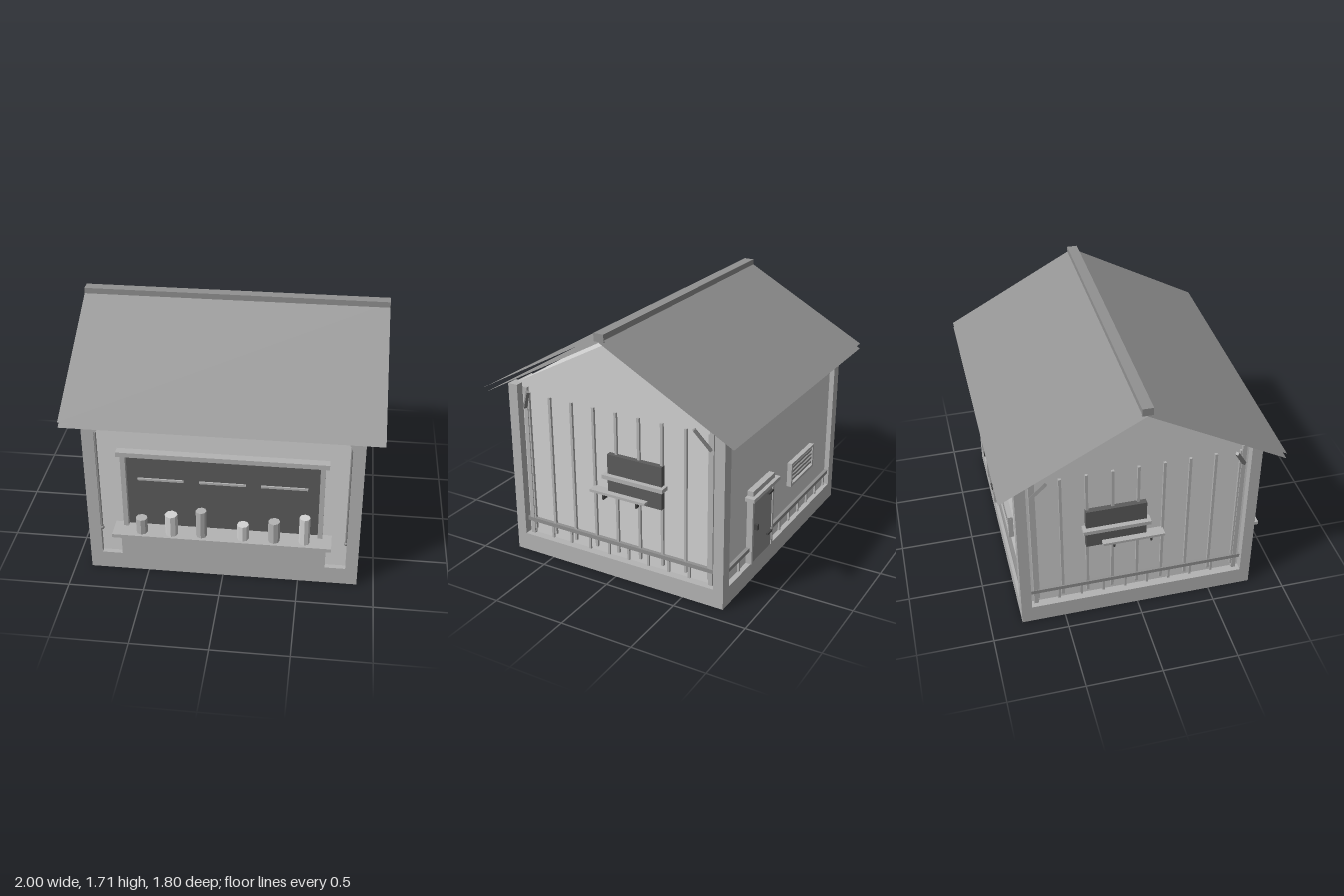
import * as THREE from 'three';

const mat = (name, color, side = THREE.FrontSide) => {
  const m = new THREE.MeshStandardMaterial({ color, side });
  m.name = name;
  return m;
};

export function createModel() {
  const wall = mat('pale wall', 0xd3d3d3);
  const trim = mat('grey trim', 0xb4b4b4);
  const rail = mat('mid grey', 0x919191);
  const roof = mat('roof grey', 0x929292, THREE.DoubleSide);
  const dark = mat('dark panel', 0x5c5c5c);
  const iron = mat('iron', 0x474747);

  const root = new THREE.Group();
  root.name = 'kiosk';

  const add = (parent, name, geo, material) => {
    const m = new THREE.Mesh(geo, material);
    m.name = name;
    parent.add(m);
    return m;
  };
  // Box given by its minimum and maximum on each axis
  const box = (parent, name, material, x0, x1, y0, y1, z0, z1) => {
    const m = add(parent, name, new THREE.BoxGeometry(x1 - x0, y1 - y0, z1 - z0), material);
    m.position.set((x0 + x1) / 2, (y0 + y1) / 2, (z0 + z1) / 2);
    return m;
  };
  const group = (name) => {
    const g = new THREE.Group();
    g.name = name;
    root.add(g);
    return g;
  };

  // Plinth, corner posts and gabled body
  box(root, 'plinth', trim, -0.89, 0.89, 0, 0.125, -0.79, 0.79);
  for (const x of [-0.85, 0.85]) for (const z of [-0.755, 0.755])
    box(root, 'cornerPost', trim, x - 0.04, x + 0.04, 0.125, 1.21, z - 0.035, z + 0.035);

  const gable = new THREE.Shape();
  gable.moveTo(-0.755, 0.125);
  gable.lineTo(0.755, 0.125);
  gable.lineTo(0.755, 1.21);
  gable.lineTo(0, 1.615);
  gable.lineTo(-0.755, 1.21);
  const bodyGeo = new THREE.ExtrudeGeometry(gable, { depth: 1.67, bevelEnabled: false });
  bodyGeo.translate(0, 0, -0.835);
  bodyGeo.rotateY(Math.PI / 2);
  add(root, 'walls', bodyGeo, wall);

  // Roof: two thin sheets on each slope, with a ridge cap
  const pitch = Math.atan2(0.49, 0.9);
  for (const side of [0, Math.PI]) {
    const slope = group('roofSlope');
    slope.rotation.y = side;
    for (const eave of [1.16, 1.197]) {
      const sheet = add(slope, 'roofSheet', new THREE.PlaneGeometry(2, Math.hypot(0.49, 0.9)), roof);
      sheet.rotation.x = pitch - Math.PI / 2;
      sheet.position.set(0, eave + 0.245, 0.45);
    }
  }
  box(root, 'ridgeCap', rail, -1, 1, 1.655, 1.706, -0.035, 0.035);

  // Serving window
  const front = group('servingWindow');
  box(front, 'counterBase', trim, -0.675, 0.675, 0.125, 0.34, 0.75, 0.79);
  box(front, 'counterTop', trim, -0.71, 0.71, 0.34, 0.365, 0.74, 0.9);
  box(front, 'windowPanel', dark, -0.62, 0.62, 0.365, 0.91, 0.756, 0.762);
  box(front, 'windowHead', trim, -0.675, 0.675, 0.91, 0.943, 0.75, 0.81);
  for (const s of [-1, 1])
    box(front, 'windowJamb', trim, s * 0.635 - 0.016, s * 0.635 + 0.016, 0.365, 0.91, 0.75, 0.797);
  for (const x of [-0.4, 0, 0.395])
    box(front, 'windowBar', trim, x - 0.15, x + 0.15, 0.715, 0.73, 0.76, 0.772);

  // Canisters on the counter
  const cans = [[-0.52, 0.11, 0.038], [-0.325, 0.15, 0.042], [-0.13, 0.195, 0.035],
    [0.14, 0.11, 0.038], [0.34, 0.15, 0.038], [0.535, 0.195, 0.035]];
  cans.forEach(([x, h, r], i) => {
    const geo = new THREE.CylinderGeometry(r, r, h, 8).toNonIndexed();
    geo.computeVertexNormals();
    add(front, 'canister', geo, [1, 3, 5].includes(i) ? wall : trim).position.set(x, 0.365 + h / 2, 0.845);
  });

  // Curved corner brackets and slim drop poles at the front posts
  const bracket = new THREE.Shape();
  bracket.moveTo(0.81, 1.2);
  bracket.lineTo(0.65, 1.2);
  bracket.lineTo(0.65, 1.16);
  bracket.quadraticCurveTo(0.77, 1.16, 0.81, 1.04);
  for (const s of [-1, 1]) {
    const geo = new THREE.ExtrudeGeometry(bracket, { depth: 0.02, bevelEnabled: false, curveSegments: 8 });
    const m = add(front, 'cornerBracket', geo, trim);
    m.position.z = 0.765;
    if (s < 0) { m.rotation.y = Math.PI; m.position.z = 0.785; }
    const pole = add(front, 'dropPole', new THREE.CylinderGeometry(0.007, 0.007, 0.84, 6), rail);
    pole.position.set(s * 0.804, 0.74, 0.775);
    add(front, 'poleEnd', new THREE.SphereGeometry(0.014, 8, 6), rail).position.set(s * 0.804, 0.32, 0.775);
  }

  // Side wall fittings, built for +x and mirrored by a half turn with z flipped
  for (const s of [-1, 1]) {
    const side = group(s > 0 ? 'leftSide' : 'rightSide');
    const sb = (name, m, x0, x1, y0, y1, z0, z1) =>
      box(side, name, m, Math.min(s * x0, s * x1), Math.max(s * x0, s * x1), y0, y1, z0, z1);
    for (let i = -4; i <= 4; i++) {
      const z = i * 0.1667;
      sb('batten', trim, 0.83, 0.852, 0.16, 1.15, z - 0.009, z + 0.009);
    }
    sb('lowRail', rail, 0.83, 0.86, 0.215, 0.242, -0.72, 0.72);
    for (let i = 0; i < 10; i++) {
      const z = -0.675 + i * 0.15;
      sb('lowStile', trim, 0.83, 0.848, 0.125, 0.215, z - 0.008, z + 0.008);
    }
    for (const z of [-0.683, 0.683])
      sb('edgeBatten', trim, 0.83, 0.858, 0.125, 1.19, z - 0.014, z + 0.014);

    sb('sideWindow', dark, 0.83, 0.872, 0.572, 0.866, -0.345, 0.052);
    sb('windowLedge', trim, 0.84, 0.905, 0.705, 0.732, -0.368, 0.075);
    sb('sideShelf', trim, 0.84, 0.912, 0.592, 0.61, -0.243, 0.167);
    for (const z of [-0.162, 0.085])
      sb('shelfSupport', iron, 0.84, 0.885, 0.542, 0.592, z - 0.006, z + 0.006);

    // Slanted braces under the roof overhang
    for (const z of [-1, 1]) {
      const a = new THREE.Vector3(s * 0.865, 1.055, z * 0.683);
      const b = new THREE.Vector3(s * 0.93, 1.2, z * 0.602);
      const m = add(side, 'eaveBrace', new THREE.BoxGeometry(0.02, 0.02, a.distanceTo(b)), rail);
      m.position.copy(a).add(b).multiplyScalar(0.5);
      m.lookAt(b);
    }
  }

  // Back wall wainscot, interrupted by the door
  const back = group('backWall');
  box(back, 'lowRail', rail, -0.81, 0.19, 0.215, 0.242, -0.78, -0.75);
  box(back, 'lowRail', rail, 0.5, 0.81, 0.215, 0.242, -0.78, -0.75);
  for (let i = 0; i <= 10; i++) {
    const x = -0.775 + i * 0.155;
    if (x < 0.18 || x > 0.51)
      box(back, 'lowStile', trim, x - 0.008, x + 0.008, 0.125, 0.215, -0.768, -0.75);
  }

  // Back door
  const door = group('backDoor');
  box(door, 'doorPanel', rail, 0.205, 0.485, 0.125, 0.575, -0.79, -0.75);
  for (const x of [0.195, 0.495])
    box(door, 'doorJamb', trim, x - 0.01, x + 0.01, 0.125, 0.6, -0.797, -0.75);
  box(door, 'doorHead', trim, 0.185, 0.505, 0.575, 0.65, -0.797, -0.75);
  box(door, 'doorHood', trim, 0.15, 0.54, 0.59, 0.615, -0.822, -0.75);
  box(door, 'doorHandle', iron, 0.445, 0.465, 0.36, 0.4, -0.815, -0.785);
  for (const y of [0.235, 0.535])
    box(door, 'hinge', iron, 0.21, 0.275, y - 0.007, y + 0.007, -0.804, -0.785);

  // Louvred vent
  const vent = group('vent');
  box(vent, 'ventBack', dark, -0.49, -0.12, 0.41, 0.58, -0.765, -0.75);
  for (const y of [0.417, 0.573])
    box(vent, 'ventFrame', trim, -0.495, -0.115, y - 0.009, y + 0.009, -0.788, -0.75);
  for (const x of [-0.487, -0.123])
    box(vent, 'ventFrame', trim, x - 0.009, x + 0.009, 0.426, 0.564, -0.788, -0.75);
  for (let i = 0; i < 4; i++) {
    const y = 0.449 + i * 0.031;
    box(vent, 'louvre', rail, -0.478, -0.132, y - 0.008, y + 0.008, -0.78, -0.76);
  }
  return root;
}
